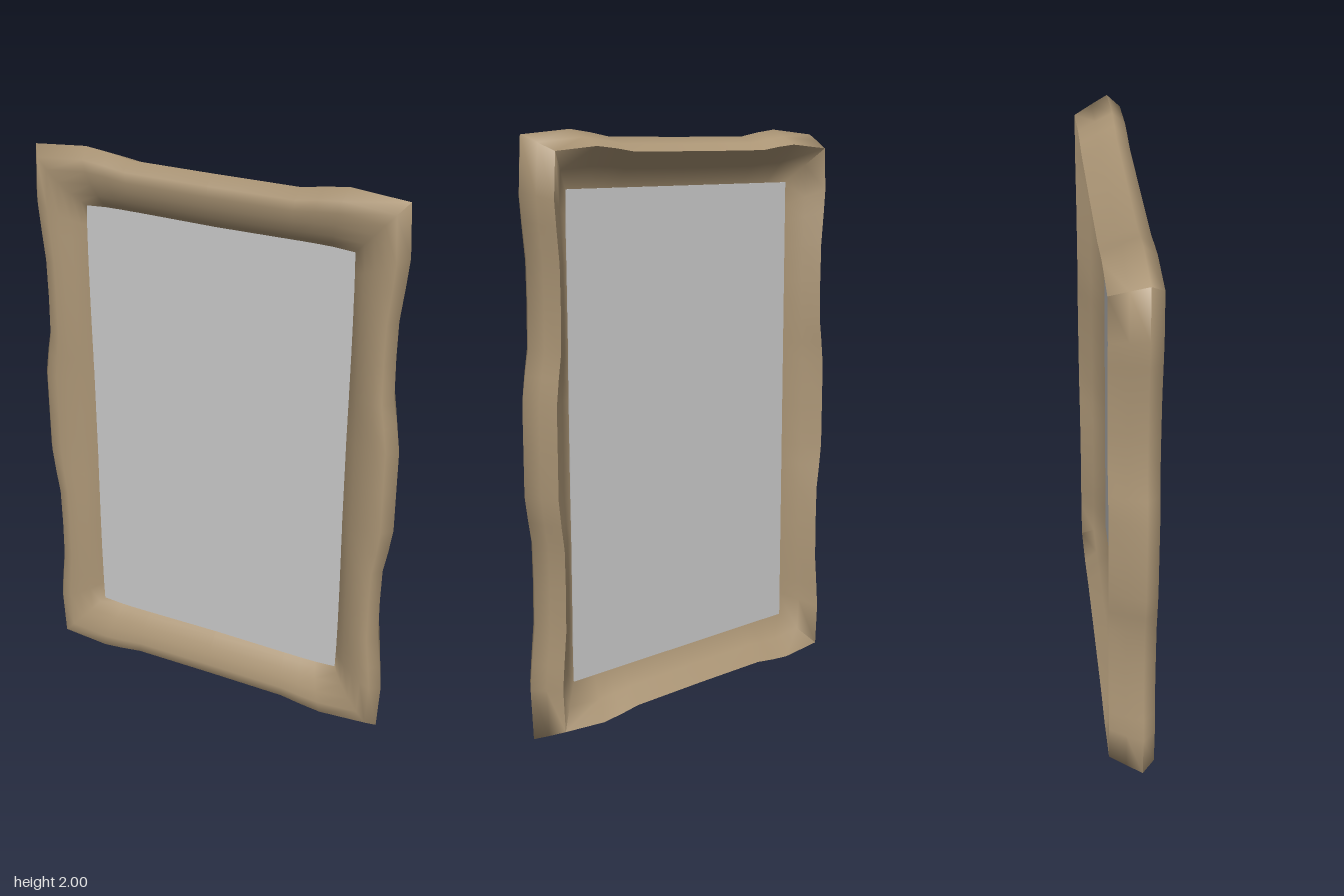
import * as THREE from 'three';
import { toCreasedNormals } from 'three/addons/utils/BufferGeometryUtils.js';

// One quarter of the frame, from right middle to top middle, measured from the centre:
// [inner x, inner y, outer x, outer y]
const QUARTER = [
  [0.475, 0, 0.668, 0],
  [0.475, 0.15, 0.668, 0.15],
  [0.476, 0.23, 0.655, 0.24],
  [0.477, 0.31, 0.64, 0.32],
  [0.478, 0.45, 0.637, 0.46],
  [0.478, 0.57, 0.639, 0.6],
  [0.477, 0.66, 0.653, 0.72],
  [0.476, 0.72, 0.662, 0.81],
  [0.474, 0.787, 0.653, 0.983],
  [0.4, 0.792, 0.46, 1.0],
  [0.34, 0.793, 0.38, 0.99],
  [0.28, 0.793, 0.3, 0.976],
  [0, 0.79, 0, 0.975],
];

// Rail section from the inner lip over the front to the back: [share of width, z]
const SECTION = [
  [0, 0.014], [0.1, 0.032], [0.25, 0.051], [0.45, 0.068], [0.65, 0.077],
  [0.84, 0.077], [1, 0.035], [0.88, -0.022], [0.75, -0.08], [0.45, -0.034], [0.13, 0.014],
];

// Mirror the quarter into a closed counter-clockwise loop
function frameStations() {
  const mirror = (list, sx, sy) => list.map(([a, b, c, d]) => [a * sx, b * sy, c * sx, d * sy]);
  const back = [...QUARTER].reverse();
  return [
    ...QUARTER.slice(0, -1),
    ...mirror(back, -1, 1).slice(0, -1),
    ...mirror(QUARTER, -1, -1).slice(0, -1),
    ...mirror(back, 1, -1).slice(0, -1),
  ];
}

// Sweep the section around the loop, stretched to each station's width
function frameGeometry() {
  const stations = frameStations();
  const n = stations.length;
  const m = SECTION.length;
  const positions = [];
  const index = [];
  stations.forEach(([ix, iy, ox, oy], i) => {
    SECTION.forEach(([u, z], j) => {
      positions.push(ix + (ox - ix) * u, 1 + iy + (oy - iy) * u, z);
      const a = i * m + j;
      const b = ((i + 1) % n) * m + j;
      const c = i * m + (j + 1) % m;
      const d = ((i + 1) % n) * m + (j + 1) % m;
      index.push(a, c, b, b, c, d);
    });
  });
  const geometry = new THREE.BufferGeometry();
  geometry.setAttribute('position', new THREE.Float32BufferAttribute(positions, 3));
  geometry.setIndex(index);
  // Soft everywhere except the back rim and the inner lip
  return toCreasedNormals(geometry, 1.65);
}

export function createModel() {
  const group = new THREE.Group();
  group.name = 'framedMirror';

  // Carved wavy frame
  const frame = new THREE.Mesh(frameGeometry(), new THREE.MeshStandardMaterial({ color: 0xac9676 }));
  frame.name = 'frame';

  // Thin pane held by the inner lip
  const pane = new THREE.Mesh(
    new THREE.BoxGeometry(1.0, 1.63, 0.008),
    new THREE.MeshStandardMaterial({ color: 0xcccccc })
  );
  pane.name = 'pane';
  pane.position.set(0, 1, 0.014);

  group.add(frame, pane);
  return group;
}
